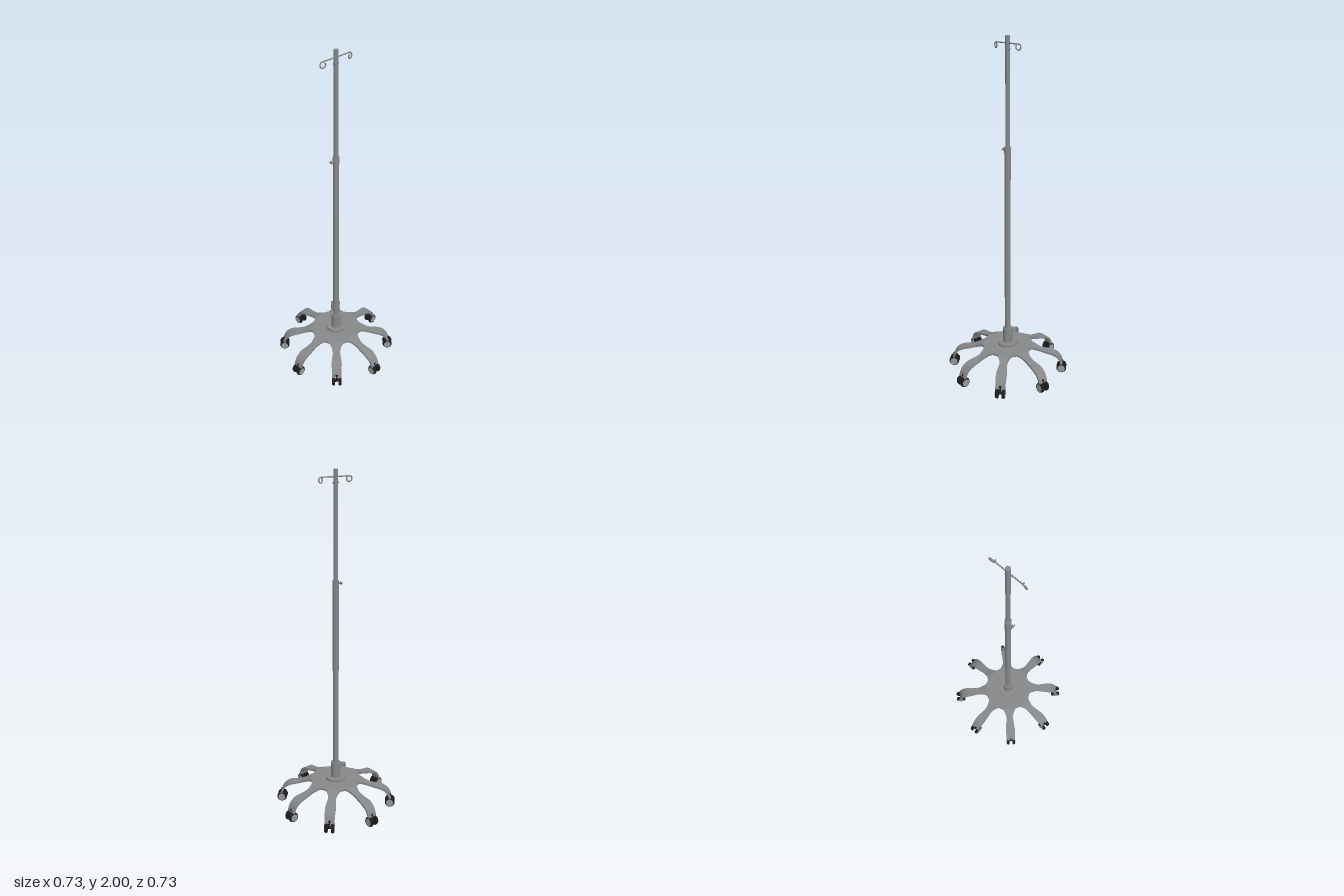
import * as THREE from 'three';
import { toCreasedNormals } from 'three/addons/utils/BufferGeometryUtils.js';

const steel = new THREE.MeshStandardMaterial({ color: 0x858789 });
steel.name = 'grey steel';
const rubber = new THREE.MeshStandardMaterial({ color: 0x1c1c1d });
rubber.name = 'black rubber';
const cap = new THREE.MeshStandardMaterial({ color: 0x969899 });
cap.name = 'light grey cap';

function add(parent, name, geometry, material, x = 0, y = 0, z = 0) {
  const mesh = new THREE.Mesh(geometry, material);
  mesh.name = name;
  mesh.position.set(x, y, z);
  parent.add(mesh);
  return mesh;
}

const cylinder = (r, h, n = 32, r2 = r) => new THREE.CylinderGeometry(r2, r, h, n);
const THICK = 0.012;

// Curved strip along +x; spline values are radius, top height and half width
function armGeometry() {
  const spline = new THREE.CatmullRomCurve3([
    [0.145, 0.168, 0.045], [0.163, 0.163, 0.034], [0.2, 0.148, 0.023],
    [0.24, 0.138, 0.026], [0.285, 0.128, 0.031], [0.315, 0.109, 0.030],
    [0.333, 0.083, 0.029], [0.341, 0.058, 0.0285],
  ].map((p) => new THREE.Vector3(...p)));
  const steps = 24, pos = [], index = [];
  for (let i = 0; i <= steps; i++) {
    const p = spline.getPoint(i / steps);
    const t = spline.getTangent(i / steps);
    const len = Math.hypot(t.x, t.y);
    const nx = i ? (t.y / len) * THICK : 0;
    const ny = i ? (-t.x / len) * THICK : -THICK;
    pos.push(p.x, p.y, p.z, p.x, p.y, -p.z);
    pos.push(p.x + nx, p.y + ny, -p.z, p.x + nx, p.y + ny, p.z);
    if (i === steps) break;
    for (let k = 0; k < 4; k++) {
      const a = i * 4 + k, b = i * 4 + ((k + 1) % 4);
      index.push(a, a + 4, b + 4, a, b + 4, b);
    }
  }
  const e = steps * 4;
  index.push(e, e + 3, e + 2, e, e + 2, e + 1);
  const g = new THREE.BufferGeometry();
  g.setAttribute('position', new THREE.Float32BufferAttribute(pos, 3));
  g.setIndex(index);
  return toCreasedNormals(g, 0.7);
}

// Sixteen-sided hub plate that meets the roots of the arms
function hubGeometry() {
  const pts = [];
  const r = Math.hypot(0.145, 0.045), a = Math.atan2(0.045, 0.145);
  for (let i = 0; i < 8; i++) {
    for (const s of [-a, a]) {
      const t = (i * Math.PI) / 4 + s;
      pts.push(new THREE.Vector2(r * Math.cos(t), r * Math.sin(t)));
    }
  }
  const g = new THREE.ExtrudeGeometry(new THREE.Shape(pts), { depth: THICK, bevelEnabled: false });
  return g.rotateX(-Math.PI / 2);
}

// Twin wheel caster hanging under an arm tip
function makeCaster() {
  const caster = new THREE.Group();
  caster.name = 'caster';
  const tyre = toCreasedNormals(new THREE.LatheGeometry([
    [0, -0.009], [0.028, -0.009], [0.03, -0.006], [0.03, 0.001], [0.026, 0.009], [0, 0.009],
  ].map(([x, y]) => new THREE.Vector2(x, y)), 28), 0.5);
  for (const s of [1, -1]) {
    const wheel = new THREE.Group();
    wheel.name = 'wheel';
    wheel.position.z = s * 0.0195;
    wheel.rotation.x = (s * Math.PI) / 2;
    caster.add(wheel);
    add(wheel, 'tyre', tyre, rubber);
    add(wheel, 'wheelCap', cylinder(0.022, 0.002, 28), cap, 0, 0.0095, 0);
  }
  add(caster, 'axle', cylinder(0.008, 0.03, 16), rubber).rotation.x = Math.PI / 2;
  add(caster, 'casterStem', cylinder(0.007, 0.045, 16), rubber, 0, 0.025, 0);
  caster.position.set(0.334, 0.03, 0);
  return caster;
}

export function createModel() {
  const model = new THREE.Group();
  model.name = 'dripStand';

  // Star base with eight arms
  add(model, 'hubPlate', hubGeometry(), steel, 0, 0.168 - THICK, 0);
  const arm = armGeometry();
  for (let i = 0; i < 8; i++) {
    const leg = new THREE.Group();
    leg.name = 'leg';
    leg.rotation.y = (i * Math.PI) / 4;
    add(leg, 'arm', arm, steel);
    leg.add(makeCaster());
    model.add(leg);
  }

  // Telescopic pole
  add(model, 'flange', cylinder(0.06, 0.014, 40), steel, 0, 0.175, 0);
  add(model, 'socket', cylinder(0.029, 0.098, 32, 0.028), steel, 0, 0.228, 0);
  add(model, 'lowerTube', cylinder(0.0175, 1.13), steel, 0, 0.83, 0);
  add(model, 'collar', cylinder(0.0195, 0.035), steel, 0, 1.3825, 0);
  add(model, 'upperTube', cylinder(0.013, 0.605), steel, 0, 1.6975, 0);

  // Clamp screw on the front of the collar
  add(model, 'screwShaft', cylinder(0.004, 0.024, 12), steel, 0, 1.38, 0.026).rotation.x = Math.PI / 2;
  add(model, 'screwHandle', cylinder(0.004, 0.025, 12), steel, 0, 1.38, 0.037).rotation.z = Math.PI / 2;
  add(model, 'screwKnob', cylinder(0.009, 0.004, 16), steel, 0, 1.38, 0.037).rotation.x = Math.PI / 2;

  // Cross bar whose ends curl down and back into open loops
  for (const s of [1, -1]) {
    const path = new THREE.CatmullRomCurve3([
      [0, 1.961, 0], [0, 1.961, 0.05], [0, 1.961, 0.092], [0, 1.959, 0.106],
      [0.001, 1.947, 0.113], [0.003, 1.934, 0.105], [0.006, 1.932, 0.092],
      [0.009, 1.942, 0.083], [0.01, 1.954, 0.085],
    ].map(([x, y, z]) => new THREE.Vector3(x, y, s * z)));
    add(model, 'hook', new THREE.TubeGeometry(path, 64, 0.0035, 10), steel);
    const end = path.getPoint(1);
    add(model, 'hookTip', new THREE.SphereGeometry(0.0042, 12, 8), steel, end.x, end.y, end.z);
    add(model, 'poleStud', cylinder(0.007, 0.005, 16), steel, 0, 1.93, s * 0.0135).rotation.x = Math.PI / 2;
  }
  return model;
}
